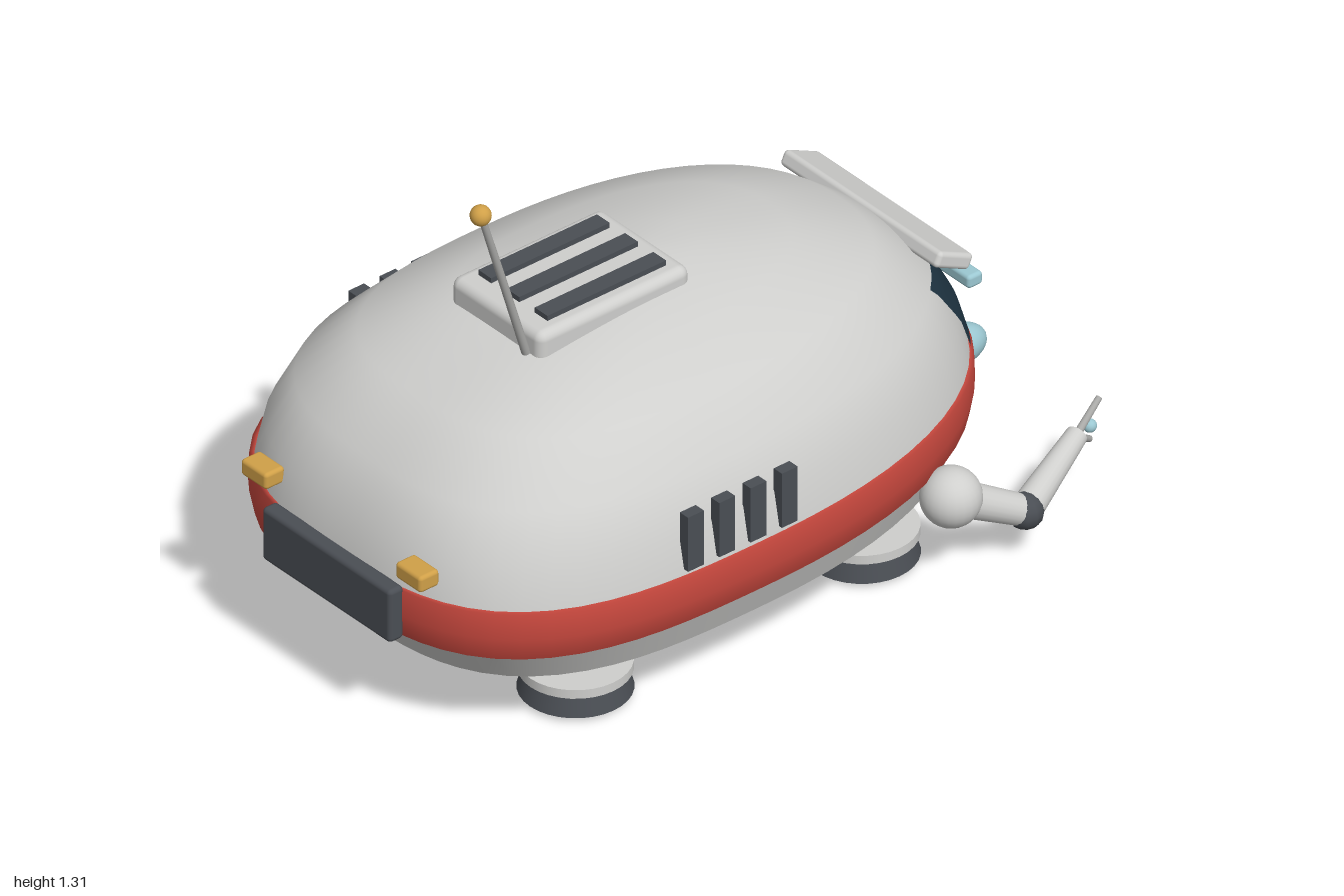
import * as THREE from 'three';
import { RoundedBoxGeometry } from 'three/addons/geometries/RoundedBoxGeometry.js';

const flat = (name, color) => new THREE.MeshStandardMaterial({ name, color });
const V = (x, y, z) => new THREE.Vector3(x, y, z);

// Hull rings: [height, half width, +z end, -z end]
const LOWER = [[0.11, 0.465, 0.75, -0.63], [0.18, 0.557, 0.89, -0.755], [0.277, 0.598, 0.957, -0.79]];
const UPPER = [
  [0.41, 0.61, 0.965, -0.795], [0.51, 0.59, 0.943, -0.765], [0.63, 0.54, 0.875, -0.7],
  [0.743, 0.432, 0.73, -0.555], [0.817, 0.28, 0.5, -0.345], [0.852, 0.11, 0.2, -0.1], [0.858, 0.001, 0.06, 0.058],
];
const FRONT_POWER = 2.9, BACK_POWER = 2.3;
const middle = (zf, zb) => zb + (zf - zb) * 0.565;

// Skin over rounded rings, listed from bottom to top
function skin(rings, seg = 72) {
  const pos = [], idx = [];
  rings.forEach(([y, hx, zf, zb], i) => {
    const zc = middle(zf, zb);
    for (let j = 0; j < seg; j++) {
      const a = (j / seg) * Math.PI * 2, c = Math.cos(a), s = Math.sin(a);
      const n = s > 0 ? FRONT_POWER : BACK_POWER;
      const r = (Math.abs(c) ** n + Math.abs(s) ** n) ** (-1 / n);
      pos.push(hx * r * c, y, zc + r * s * (s > 0 ? zf - zc : zc - zb));
      if (i < rings.length - 1) {
        const p = i * seg + j, q = i * seg + (j + 1) % seg;
        idx.push(p, p + seg, q, q, p + seg, q + seg);
      }
    }
  });
  const g = new THREE.BufferGeometry();
  g.setAttribute('position', new THREE.Float32BufferAttribute(pos, 3));
  g.setIndex(idx);
  g.computeVertexNormals();
  return g;
}

// Depth of the hull's -z side at a given x and height
function backSurface(x, y) {
  let i = 0;
  while (i < UPPER.length - 2 && y > UPPER[i + 1][0]) i++;
  const t = (y - UPPER[i][0]) / (UPPER[i + 1][0] - UPPER[i][0]);
  const [, hx, zf, zb] = UPPER[i].map((v, k) => v + (UPPER[i + 1][k] - v) * t);
  const zc = middle(zf, zb);
  return zc - (zc - zb) * (1 - Math.abs(x / hx) ** BACK_POWER) ** (1 / BACK_POWER);
}

export function createModel() {
  const shell = flat('light grey shell', 0xcfcfcd);
  const red = flat('red stripe', 0xc8483e);
  const slate = flat('slate trim', 0x4a4e54);
  const black = flat('black underside', 0x2b2d30);
  const navy = flat('navy window', 0x1f3442);
  const aqua = flat('pale aqua lens', 0x9cc8d2);
  const gold = flat('amber', 0xd0a048);
  const blue = flat('blue thruster', 0x4f78ad);
  const steel = flat('steel', 0xa8a8a6);

  const model = new THREE.Group();
  const add = (name, geo, mat, x = 0, y = 0, z = 0, parent = model) => {
    const m = new THREE.Mesh(geo, mat);
    m.name = name;
    m.position.set(x, y, z);
    parent.add(m);
    return m;
  };
  const box = (w, h, d, r) => r ? new RoundedBoxGeometry(w, h, d, 3, r) : new THREE.BoxGeometry(w, h, d);
  const ball = (r, w = 24, h = 16) => new THREE.SphereGeometry(r, w, h);
  // Tapered rod from a to b
  const rod = (name, a, b, ra, rb, mat, parent = model) => {
    const m = add(name, new THREE.CylinderGeometry(rb, ra, a.distanceTo(b), 20), mat, 0, 0, 0, parent);
    m.position.copy(a).lerp(b, 0.5);
    m.quaternion.setFromUnitVectors(V(0, 1, 0), b.clone().sub(a).normalize());
    return m;
  };

  // Hull
  const belly = [0.05, 0.375, 0.56, -0.46];
  add('upperHull', skin(UPPER), shell);
  add('lowerHull', skin(LOWER.slice(1)), shell);
  add('lowerBevel', skin(LOWER.slice(0, 2)), shell);
  add('undersideRim', skin([belly, LOWER[0]]), black);
  add('undersidePlate', skin([[0.05, 0.001, 0.051, 0.05], belly]), black);
  add('waistStripe', skin([
    LOWER[2], [0.278, 0.61, 0.968, -0.798], [0.34, 0.625, 0.978, -0.806],
    [0.409, 0.622, 0.975, -0.804], UPPER[0],
  ]), red);

  // Window wrapped over the -z side
  const pane = new THREE.PlaneGeometry(0.64, 0.21, 24, 8).rotateY(Math.PI).translate(0, 0.532, 0);
  const p = pane.attributes.position;
  for (let i = 0; i < p.count; i++) p.setZ(i, backSurface(p.getX(i), p.getY(i)) - 0.009);
  pane.computeVertexNormals();
  add('window', pane, navy);
  add('windowVisor', box(0.57, 0.042, 0.115, 0.012), shell, 0, 0.652, -0.675).rotation.x = -0.45;

  // Light bar on the window
  add('lightBar', box(0.43, 0.036, 0.045, 0.01), aqua, 0, 0.51, -0.797);
  for (const x of [-0.115, 0.115]) add('lightBarLamp', ball(0.032), aqua, x, 0.51, -0.812).scale.z = 0.65;

  // Nozzle below the window
  rod('nozzleCollar', V(0, 0.145, -0.56), V(0, 0.15, -0.68), 0.08, 0.078, slate);
  rod('nozzle', V(0, 0.15, -0.64), V(0, 0.165, -0.905), 0.075, 0.05, shell);
  add('nozzleTip', ball(0.05), aqua, 0, 0.165, -0.92).scale.z = 1.6;

  // Grille panel and lights on the +z side
  add('rearPanel', box(0.466, 0.147, 0.045, 0.012), slate, 0, 0.349, 0.977);
  for (const x of [-0.28, 0.28]) add('signalLight', box(0.093, 0.045, 0.06, 0.01), gold, x, 0.481, 0.955);

  // Roof housing with vents
  add('roofHousing', box(0.33, 0.09, 0.46, 0.025), shell, 0, 0.838, 0.255);
  for (const x of [-0.102, 0, 0.102]) add('roofVent', box(0.046, 0.022, 0.36), slate, x, 0.886, 0.25);

  // Antenna
  rod('antennaRod', V(0.116, 0.8, 0.483), V(0.148, 1.285, 0.65), 0.011, 0.009, steel);
  add('antennaBall', ball(0.026), gold, 0.148, 1.288, 0.652);

  // Hover feet
  for (const x of [-0.34, 0.34]) for (const z of [-0.345, 0.525]) {
    const foot = new THREE.Group();
    foot.name = 'foot';
    foot.position.set(x, 0, z);
    model.add(foot);
    add('footDisc', new THREE.CylinderGeometry(0.137, 0.137, 0.024, 32), shell, 0, 0.078, 0, foot);
    add('footSkirt', new THREE.CylinderGeometry(0.122, 0.138, 0.055, 32), slate, 0, 0.0395, 0, foot);
    add('footThruster', new THREE.CylinderGeometry(0.102, 0.102, 0.012, 32), blue, 0, 0.006, 0, foot);
  }

  for (const s of [-1, 1]) {
    // Side vents
    for (let i = 0; i < 4; i++) add('sideVent', box(0.03, 0.152, 0.048), slate, s * 0.601, 0.501, 0.105 + i * 0.095);

    // Manipulator arm
    const arm = new THREE.Group();
    arm.name = s > 0 ? 'leftArm' : 'rightArm';
    model.add(arm);
    const shoulder = V(s * 0.55, 0.232, -0.44), elbow = V(s * 0.592, 0.132, -0.63), wrist = V(s * 0.505, 0.2, -0.86);
    add('shoulder', ball(0.075), shell, ...shoulder.toArray(), arm);
    rod('upperArm', shoulder, elbow, 0.046, 0.038, shell, arm);
    add('elbow', ball(0.046, 12, 8), slate, ...elbow.toArray(), arm);
    rod('forearm', elbow, wrist, 0.04, 0.027, shell, arm);
    rod('upperFinger', V(s * 0.508, 0.195, -0.85), V(s * 0.478, 0.252, -0.95), 0.01, 0.008, steel, arm);
    rod('lowerFinger', V(s * 0.508, 0.2, -0.85), V(s * 0.485, 0.155, -0.915), 0.01, 0.008, steel, arm);
    add('palmLens', ball(0.017), aqua, s * 0.498, 0.203, -0.905, arm);
  }
  return model;
}
